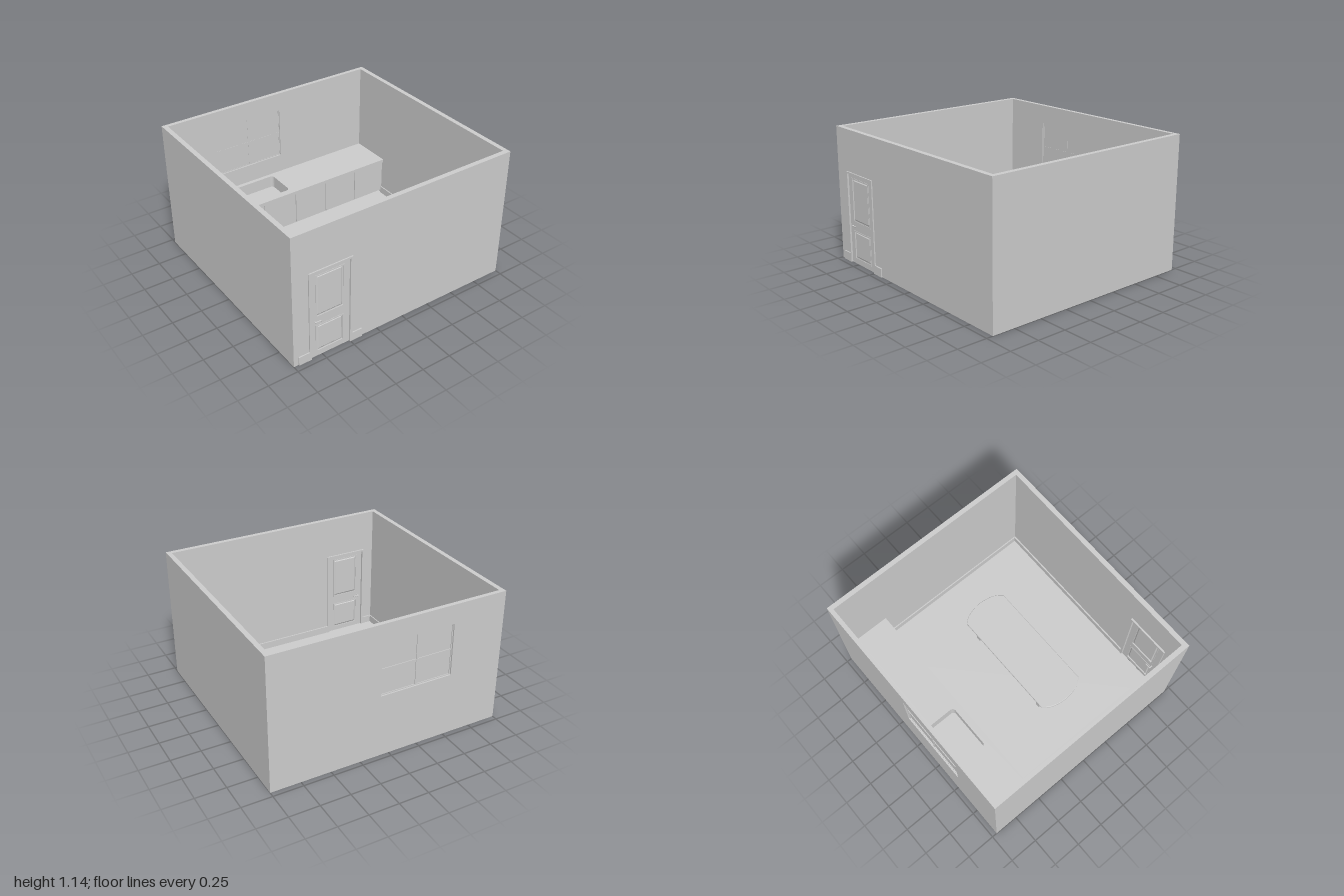
import * as THREE from 'three';
import { RoundedBoxGeometry } from 'three/addons/geometries/RoundedBoxGeometry.js';

const grey = new THREE.MeshStandardMaterial({ color: 0xcccccc });

function add(parent, name, geometry) {
  const mesh = new THREE.Mesh(geometry, grey);
  mesh.name = name;
  parent.add(mesh);
  return mesh;
}

// Box given by its lower and upper limits on each axis
function box(parent, name, x0, x1, y0, y1, z0, z1) {
  const mesh = add(parent, name, new THREE.BoxGeometry(x1 - x0, y1 - y0, z1 - z0));
  mesh.position.set((x0 + x1) / 2, (y0 + y1) / 2, (z0 + z1) / 2);
  return mesh;
}

function outline(points, Type = THREE.Shape) {
  return new Type(points.map(([x, y]) => new THREE.Vector2(x, y)));
}

function rect(x0, x1, y0, y1, Type) {
  return outline([[x0, y0], [x1, y0], [x1, y1], [x0, y1]], Type);
}

// Upright sheet with rectangular holes, from z0 to z1
function sheet(parent, name, shape, holes, z0, z1) {
  for (const h of holes) shape.holes.push(rect(...h, THREE.Path));
  const mesh = add(parent, name, new THREE.ExtrudeGeometry(shape, { depth: z1 - z0, bevelEnabled: false }));
  mesh.position.z = z0;
  return mesh;
}

function roundedRect(x0, x1, y0, y1, r, Type) {
  const p = new Type();
  p.absarc(x1 - r, y0 + r, r, -Math.PI / 2, 0);
  p.absarc(x1 - r, y1 - r, r, 0, Math.PI / 2);
  p.absarc(x0 + r, y1 - r, r, Math.PI / 2, Math.PI);
  p.absarc(x0 + r, y0 + r, r, Math.PI, Math.PI * 1.5);
  p.closePath();
  return p;
}

// Raised field with sloping sides; side = 1 faces front, -1 faces back
function raisedPanel(parent, [x0, x1, y0, y1], z, side) {
  const w = x1 - x0 - 0.016, h = y1 - y0 - 0.016, t = 0.008;
  const geo = new THREE.BoxGeometry(w, h, t);
  const p = geo.attributes.position;
  for (let i = 0; i < p.count; i++) {
    if (p.getZ(i) * side < 0) continue;
    p.setX(i, p.getX(i) - Math.sign(p.getX(i)) * 0.012);
    p.setY(i, p.getY(i) - Math.sign(p.getY(i)) * 0.012);
  }
  geo.computeVertexNormals();
  add(parent, 'doorPanel', geo).position.set((x0 + x1) / 2, (y0 + y1) / 2, z);
}

function buildShell(room) {
  box(room, 'floor', -0.96, 0.96, 0, 0.012, -0.92, 0.905);
  for (const s of [-1, 1]) {
    box(room, 'sideWall', s * 0.98 - 0.02, s * 0.98 + 0.02, 0, 1.14, -0.92, 0.905);
    box(room, 'sideBaseboard', s * 0.955 - 0.005, s * 0.955 + 0.005, 0.012, 0.075, -0.56, 0.905);
  }
  sheet(room, 'backWall', rect(-1, 1, 0, 1.14), [[-0.54, 0.085, 0.535, 0.978]], -0.955, -0.92);
  const front = outline([[-1, 0], [-0.855, 0], [-0.855, 0.775], [-0.495, 0.775],
    [-0.495, 0], [1, 0], [1, 1.14], [-1, 1.14]]);
  sheet(room, 'frontWall', front, [], 0.905, 0.945);

  // Skirting inside and beside the door outside
  box(room, 'frontBaseboard', -0.96, -0.865, 0.012, 0.075, 0.893, 0.905);
  box(room, 'frontBaseboard', -0.485, 0.96, 0.012, 0.075, 0.893, 0.905);
  box(room, 'outerBaseboard', -0.96, -0.865, 0, 0.075, 0.945, 0.955);
  box(room, 'outerBaseboard', -0.485, -0.395, 0, 0.075, 0.945, 0.955);
}

function buildDoor(room) {
  const door = new THREE.Group();
  door.name = 'door';
  room.add(door);
  const casing = outline([[-0.865, 0], [-0.85, 0], [-0.85, 0.772], [-0.505, 0.772],
    [-0.505, 0], [-0.485, 0], [-0.485, 0.787], [-0.865, 0.787]]);
  sheet(door, 'doorCasing', casing, [], 0.891, 0.955);

  // Leaf with two panels
  const panels = [[-0.8, -0.557, 0.368, 0.737], [-0.8, -0.557, 0.045, 0.287]];
  sheet(door, 'doorLeaf', rect(-0.85, -0.505, 0, 0.772), panels, 0.91, 0.94);
  for (const p of panels) {
    const [x0, x1, y0, y1] = p;
    box(door, 'doorPanelBack', x0, x1, y0, y1, 0.92, 0.93);
    raisedPanel(door, p, 0.934, 1);
    raisedPanel(door, p, 0.916, -1);
    const inner = [x0 + 0.007, x1 - 0.007, y0 + 0.007, y1 - 0.007];
    for (const z of [0.94, 0.907]) sheet(door, 'panelMoulding', rect(x0 - 0.004, x1 + 0.004, y0 - 0.004, y1 + 0.004), [inner], z, z + 0.003);
  }

  // Lever handles on both sides
  for (const [z, s] of [[0.94, 1], [0.91, -1]]) {
    const reach = s > 0 ? 0.012 : 0.028;
    const stem = add(door, 'handleStem', new THREE.CylinderGeometry(0.006, 0.006, reach, 12));
    stem.rotation.x = Math.PI / 2;
    stem.position.set(-0.81, 0.33, z + s * reach / 2);
    const lever = add(door, 'handleLever', new RoundedBoxGeometry(0.055, 0.011, 0.008, 2, 0.003));
    lever.position.set(-0.788, 0.33, z + s * reach);
  }
}

function buildWindow(room) {
  const win = new THREE.Group();
  win.name = 'window';
  room.add(win);
  box(win, 'windowPane', -0.54, 0.085, 0.535, 0.978, -0.937, -0.933);
  sheet(win, 'windowFrame', rect(-0.54, 0.085, 0.535, 0.978), [[-0.532, 0.077, 0.543, 0.97]], -0.943, -0.931);
  box(win, 'windowMullion', -0.234, -0.222, 0.543, 0.97, -0.943, -0.931);
  box(win, 'windowRail', -0.532, 0.077, 0.75, 0.762, -0.943, -0.931);
}

function buildCounter(room) {
  const counter = new THREE.Group();
  counter.name = 'kitchenCounter';
  room.add(counter);

  // Worktop is drawn flat with y standing for -z
  const top = rect(-0.96, 0.96, 0.545, 0.92);
  top.holes.push(roundedRect(-0.44, -0.03, 0.605, 0.885, 0.03, THREE.Path));
  const slab = add(counter, 'worktop', new THREE.ExtrudeGeometry(top, { depth: 0.03, bevelEnabled: false, curveSegments: 6 }));
  slab.rotation.x = -Math.PI / 2;
  slab.position.y = 0.342;

  // Sink basin
  const rim = roundedRect(-0.445, -0.025, 0.6, 0.89, 0.035, THREE.Shape);
  rim.holes.push(roundedRect(-0.44, -0.03, 0.605, 0.885, 0.03, THREE.Path));
  const wall = add(counter, 'sinkWall', new THREE.ExtrudeGeometry(rim, { depth: 0.08, bevelEnabled: false, curveSegments: 6 }));
  wall.rotation.x = -Math.PI / 2;
  wall.position.y = 0.262;
  box(counter, 'sinkBottom', -0.445, -0.025, 0.255, 0.265, -0.89, -0.6);

  // Cabinet front, plinth and doors
  box(counter, 'cabinetFront', -0.96, 0.96, 0.04, 0.342, -0.58, -0.565);
  box(counter, 'plinth', -0.96, 0.96, 0.012, 0.04, -0.61, -0.595);
  for (let i = 0; i < 6; i++) {
    const x = -0.96 + i * 0.32;
    box(counter, 'cabinetDoor', x + 0.005, x + 0.315, 0.045, 0.335, -0.565, -0.555);
  }
}

function buildTable(room) {
  const table = new THREE.Group();
  table.name = 'table';
  table.position.set(0.01, 0, 0.175);
  room.add(table);

  // Long top with bowed ends
  const s = new THREE.Shape();
  s.moveTo(-0.49, -0.202);
  s.lineTo(0.49, -0.202);
  s.bezierCurveTo(0.585, -0.11, 0.585, 0.11, 0.49, 0.202);
  s.lineTo(-0.49, 0.202);
  s.bezierCurveTo(-0.585, 0.11, -0.585, -0.11, -0.49, -0.202);
  const top = add(table, 'tableTop', new THREE.ExtrudeGeometry(s, {
    depth: 0.018, bevelThickness: 0.004, bevelSize: 0.004, bevelSegments: 1, curveSegments: 12 }));
  top.rotation.x = -Math.PI / 2;
  top.position.y = 0.278;

  for (const x of [-0.4, 0.4]) {
    for (const z of [-0.14, 0.14]) box(table, 'tableLeg', x - 0.02, x + 0.02, 0.012, 0.275, z - 0.02, z + 0.02);
    box(table, 'endApron', x - 0.01, x + 0.01, 0.235, 0.275, -0.12, 0.12);
  }
  for (const z of [-0.14, 0.14]) box(table, 'sideApron', -0.38, 0.38, 0.235, 0.275, z - 0.01, z + 0.01);
}

export function createModel() {
  const room = new THREE.Group();
  room.name = 'kitchenRoom';
  buildShell(room);
  buildDoor(room);
  buildWindow(room);
  buildCounter(room);
  buildTable(room);
  return room;
}
